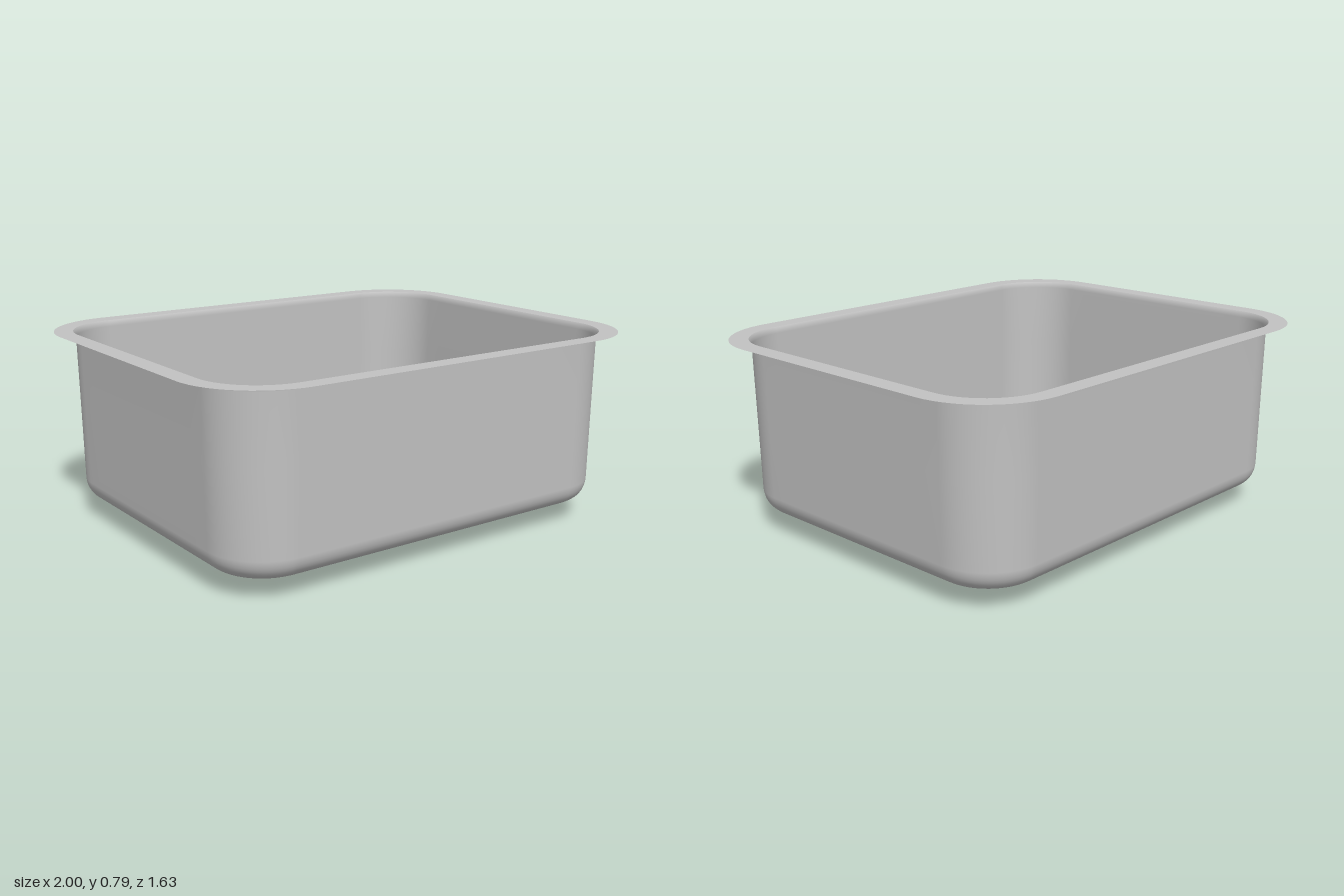
import * as THREE from 'three';

const DRAIN_Z = -0.3;

// Outline of a rounded rectangle as [x, z] points, with the straight sides subdivided
function outline(hx, hz, r, arcSteps = 14, sideSteps = 12) {
  const corners = [[1, 1], [-1, 1], [-1, -1], [1, -1]];
  const arcs = corners.map(([sx, sz], c) => {
    const pts = [];
    for (let i = 0; i <= arcSteps; i++) {
      const a = (c + i / arcSteps) * Math.PI / 2;
      pts.push([sx * (hx - r) + r * Math.cos(a), sz * (hz - r) + r * Math.sin(a)]);
    }
    return pts;
  });
  const loop = [];
  arcs.forEach((arc, c) => {
    loop.push(...arc);
    const p = arc[arcSteps], q = arcs[(c + 1) % 4][0];
    for (let i = 1; i < sideSteps; i++) {
      const t = i / sideSteps;
      loop.push([p[0] + (q[0] - p[0]) * t, p[1] + (q[1] - p[1]) * t]);
    }
  });
  return loop;
}

// Joins closed loops of [x, y, z] points into one smooth skin
function loft(loops) {
  const n = loops[0].length, index = [];
  for (let j = 0; j < loops.length - 1; j++) {
    for (let i = 0; i < n; i++) {
      const a = j * n + i, b = j * n + (i + 1) % n, c = a + n, d = b + n;
      index.push(a, b, c, b, d, c);
    }
  }
  const geo = new THREE.BufferGeometry();
  geo.setAttribute('position', new THREE.Float32BufferAttribute(loops.flat(2), 3));
  geo.setIndex(index);
  geo.computeVertexNormals();
  return geo;
}

export function createModel() {
  const group = new THREE.Group();
  const steel = new THREE.MeshStandardMaterial({ color: 0xc2c2c2, side: THREE.DoubleSide });
  steel.name = 'brushed steel';

  function add(name, geo, y = 0, z = 0) {
    const mesh = new THREE.Mesh(geo, steel);
    mesh.name = name;
    mesh.position.set(0, y, z);
    group.add(mesh);
    return mesh;
  }

  // Flat mounting flange around the opening
  const toVectors = pts => pts.map(([x, z]) => new THREE.Vector2(x, -z));
  const rim = new THREE.Shape(toVectors(outline(1, 0.815, 0.33)));
  rim.holes.push(new THREE.Path(toVectors(outline(0.922, 0.737, 0.25))));
  add('flange', new THREE.ShapeGeometry(rim).rotateX(-Math.PI / 2), 0.79);

  // Bowl sections: [half width, half depth, corner radius, height]
  const sections = [
    [0.922, 0.737, 0.25, 0.79],
    [0.916, 0.731, 0.245, 0.782],
    [0.912, 0.728, 0.242, 0.765],
    [0.908, 0.725, 0.24, 0.5],
    [0.903, 0.721, 0.236, 0.165]
  ];
  const fillet = 0.087;
  for (let i = 1; i <= 10; i++) {
    const a = i / 10 * Math.PI / 2, inset = fillet * (1 - Math.cos(a));
    sections.push([0.902 - inset, 0.72 - inset, 0.235 - inset, 0.163 - fillet * Math.sin(a)]);
  }
  const loops = sections.map(([hx, hz, r, y]) => outline(hx, hz, r).map(([x, z]) => [x, y, z]));

  // Floor slopes from the fillet to a circle around the drain
  const edge = loops[loops.length - 1];
  const floorSteps = 8;
  for (let j = 1; j <= floorSteps; j++) {
    const t = j / floorSteps;
    loops.push(edge.map(([x, y, z]) => {
      const d = Math.hypot(x, z - DRAIN_Z);
      const cx = x / d * 0.212, cz = DRAIN_Z + (z - DRAIN_Z) / d * 0.212;
      return [x + (cx - x) * t, y + (0.057 - y) * t, z + (cz - z) * t];
    }));
  }
  add('bowl', loft(loops));

  // Flared drain outlet
  const flare = [[0.135, 0], [0.135, 0.022], [0.138, 0.033], [0.146, 0.043], [0.16, 0.05], [0.18, 0.054], [0.212, 0.057]];
  add('drainOutlet', new THREE.LatheGeometry(flare.map(p => new THREE.Vector2(...p)), 64), 0, DRAIN_Z);
  add('drainBase', new THREE.CircleGeometry(0.135, 64).rotateX(Math.PI / 2), 0, DRAIN_Z);

  // Strainer plate with two rings of holes
  const plate = new THREE.Shape().absarc(0, 0, 0.134, 0, Math.PI * 2);
  for (const [count, radius] of [[12, 0.065], [18, 0.098]]) {
    for (let i = 0; i < count; i++) {
      const a = i / count * Math.PI * 2;
      plate.holes.push(new THREE.Path().absarc(radius * Math.cos(a), radius * Math.sin(a), 0.01, 0, Math.PI * 2, true));
    }
  }
  add('strainer', new THREE.ShapeGeometry(plate, 16).rotateX(-Math.PI / 2), 0.008, DRAIN_Z);
  add('strainerKnob', new THREE.CylinderGeometry(0.025, 0.025, 0.008, 32), 0.012, DRAIN_Z);

  return group;
}
